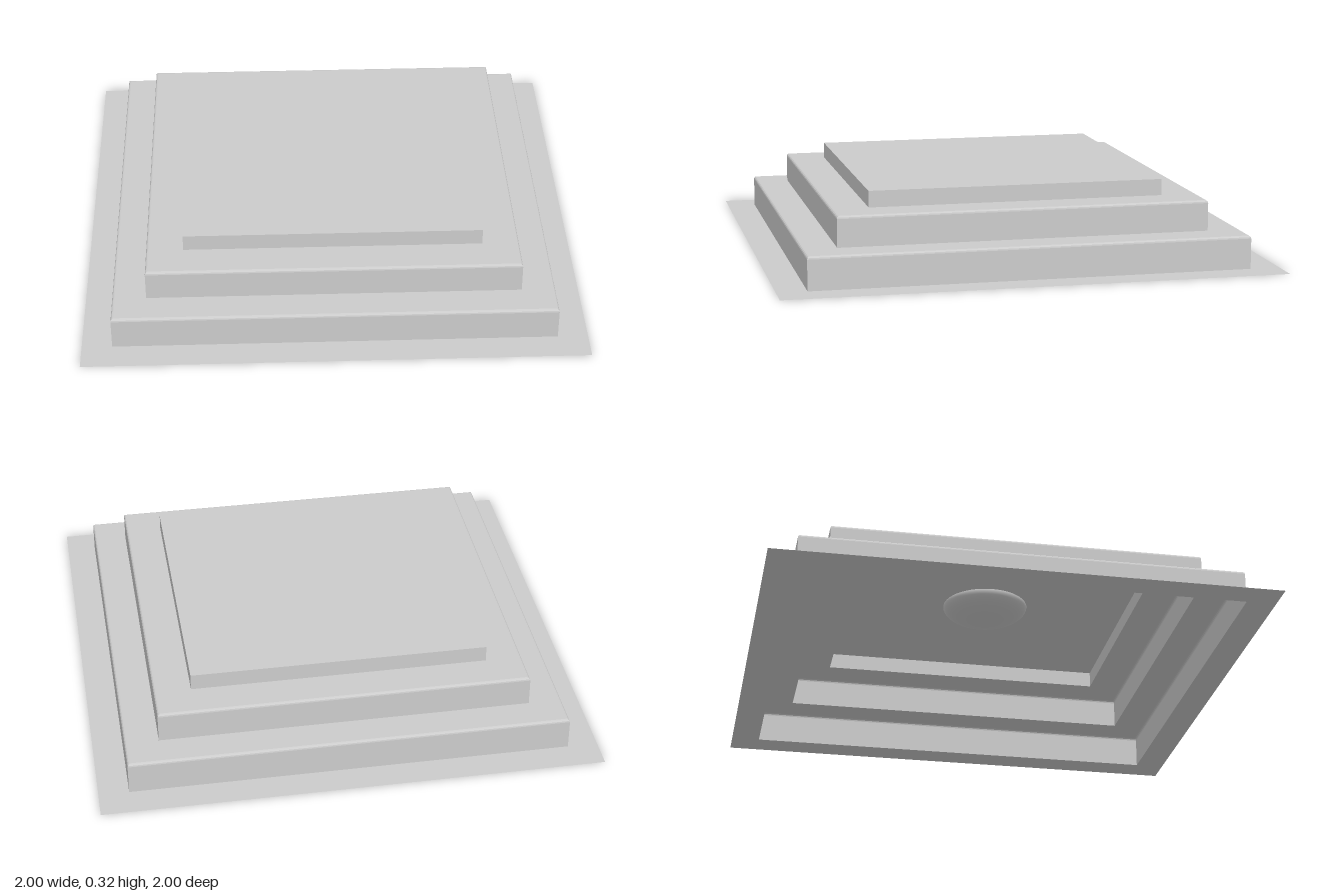
import * as THREE from 'three';

const material = new THREE.MeshStandardMaterial({ color: 0xcccccc, flatShading: true, side: THREE.DoubleSide });
const domeMaterial = new THREE.MeshStandardMaterial({ color: 0xcccccc, side: THREE.DoubleSide });

// Square ring swept through [halfWidth, y] pairs, from outside to inside
function squareShell(name, profile) {
  const points = profile.map(([half, y]) => new THREE.Vector2(half * Math.SQRT2, y));
  const geometry = new THREE.LatheGeometry(points, 4, Math.PI / 4).toNonIndexed();
  geometry.computeVertexNormals();
  const mesh = new THREE.Mesh(geometry, material);
  mesh.name = name;
  return mesh;
}

// Wall with a small rounded upper edge, then a tread running inwards
function step(half, bottom, top, inner, radius) {
  const profile = [[half, bottom]];
  for (let i = 0; i <= 3; i++) {
    const a = (i / 3) * Math.PI / 2;
    profile.push([half - radius + radius * Math.cos(a), top - radius + radius * Math.sin(a)]);
  }
  profile.push([inner, top]);
  return profile;
}

export function createModel() {
  const group = new THREE.Group();
  group.name = 'steppedPlinth';

  // Thin sheet around the foot, open in the middle
  group.add(squareShell('baseFlange', [[1, 0], [0.88, 0]]));

  // Hollow tiers
  group.add(squareShell('lowerTier', step(0.88, 0, 0.133, 0.745, 0.011)));
  group.add(squareShell('middleTier', step(0.745, 0.133, 0.256, 0.597, 0.011)));
  group.add(squareShell('topTier', [[0.597, 0.256], [0.597, 0.322], [0, 0.322]]));

  // Shallow dome hanging below the top plate
  const dome = new THREE.Mesh(
    new THREE.SphereGeometry(0.178, 48, 16, 0, Math.PI * 2, Math.PI / 2, Math.PI / 2),
    domeMaterial
  );
  dome.name = 'undersideDome';
  dome.scale.y = 0.37;
  dome.position.y = 0.321;
  group.add(dome);

  return group;
}
